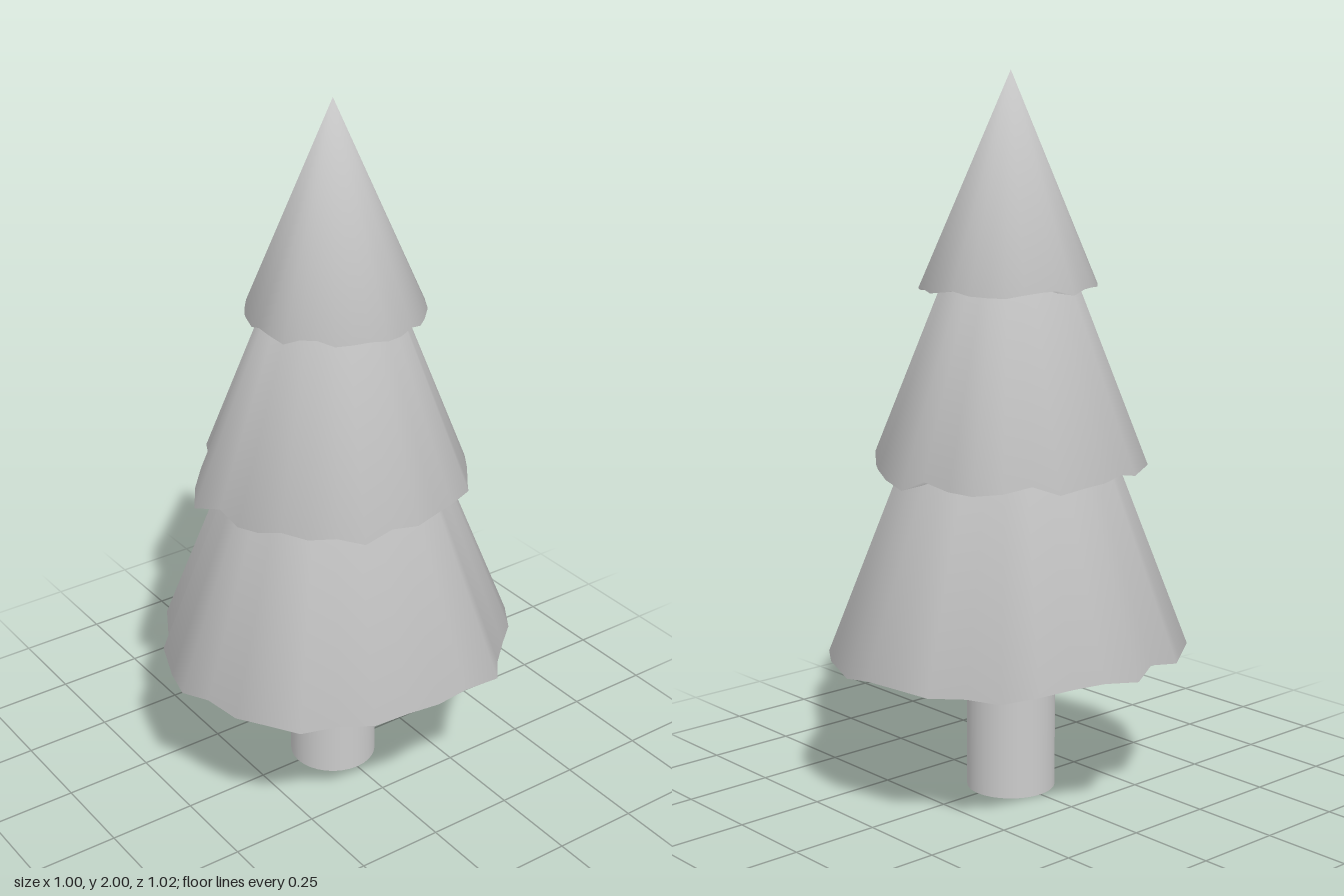
import * as THREE from 'three';

const material = new THREE.MeshStandardMaterial({ color: 0xcccccc });

// Small repeatable noise in -1..1
function noise(i, seed) {
  const s = Math.sin(i * 127.1 + seed * 311.7) * 43758.5453;
  return (s - Math.floor(s)) * 2 - 1;
}

// Closed pleated cone: rim radii run clockwise from the back, seen from above
function tier(name, apexY, rimY, radii, sway, jitter, seed) {
  const n = radii.length;
  const positions = [0, apexY, 0, 0, rimY, 0];
  const index = [];
  radii.forEach((r, i) => {
    const a = (i / n) * Math.PI * 2;
    const y = rimY - sway * Math.cos(2 * a) + jitter * noise(i, seed);
    positions.push(r * Math.sin(a), y, -r * Math.cos(a));
    const p = 2 + i, q = 2 + ((i + 1) % n);
    index.push(0, q, p, 1, p, q);
  });
  const geometry = new THREE.BufferGeometry();
  geometry.setAttribute('position', new THREE.Float32BufferAttribute(positions, 3));
  geometry.setIndex(index);
  geometry.computeVertexNormals();
  const mesh = new THREE.Mesh(geometry, material);
  mesh.name = name;
  return mesh;
}

export function createModel() {
  const tree = new THREE.Group();
  tree.name = 'pineTree';

  // Trunk
  const trunk = new THREE.Mesh(new THREE.CylinderGeometry(0.125, 0.125, 0.5, 32), material);
  trunk.position.y = 0.25;
  trunk.name = 'trunk';
  tree.add(trunk);

  // Foliage rims
  const lowerRim = [
    0.513, 0.512, 0.52, 0.51, 0.493, 0.497, 0.537, 0.5,
    0.5, 0.5, 0.514, 0.497, 0.513, 0.52, 0.494, 0.494,
    0.51, 0.495, 0.494, 0.476, 0.494, 0.48, 0.497, 0.468,
    0.502, 0.48, 0.486, 0.51, 0.512, 0.468, 0.502, 0.5,
  ];
  const middleRim = [
    0.388, 0.388, 0.38, 0.373, 0.375, 0.393, 0.377, 0.38,
    0.39, 0.383, 0.39, 0.4, 0.382, 0.38, 0.37, 0.368,
    0.37, 0.41, 0.386, 0.365, 0.35, 0.384, 0.37, 0.366,
    0.37, 0.375, 0.386, 0.386, 0.385, 0.404, 0.378, 0.382,
  ];
  const upperRim = Array.from({ length: 32 }, (_, i) =>
    0.245 + 0.008 * Math.cos((i / 32) * Math.PI * 2) + 0.005 * noise(i, 5));

  tree.add(
    tier('lowerFoliage', 1.7, 0.415, lowerRim, 0.012, 0.014, 1),
    tier('middleFoliage', 1.9, 0.93, middleRim, 0.005, 0.02, 2),
    tier('upperFoliage', 2, 1.42, upperRim, 0, 0.012, 3),
  );
  return tree;
}
